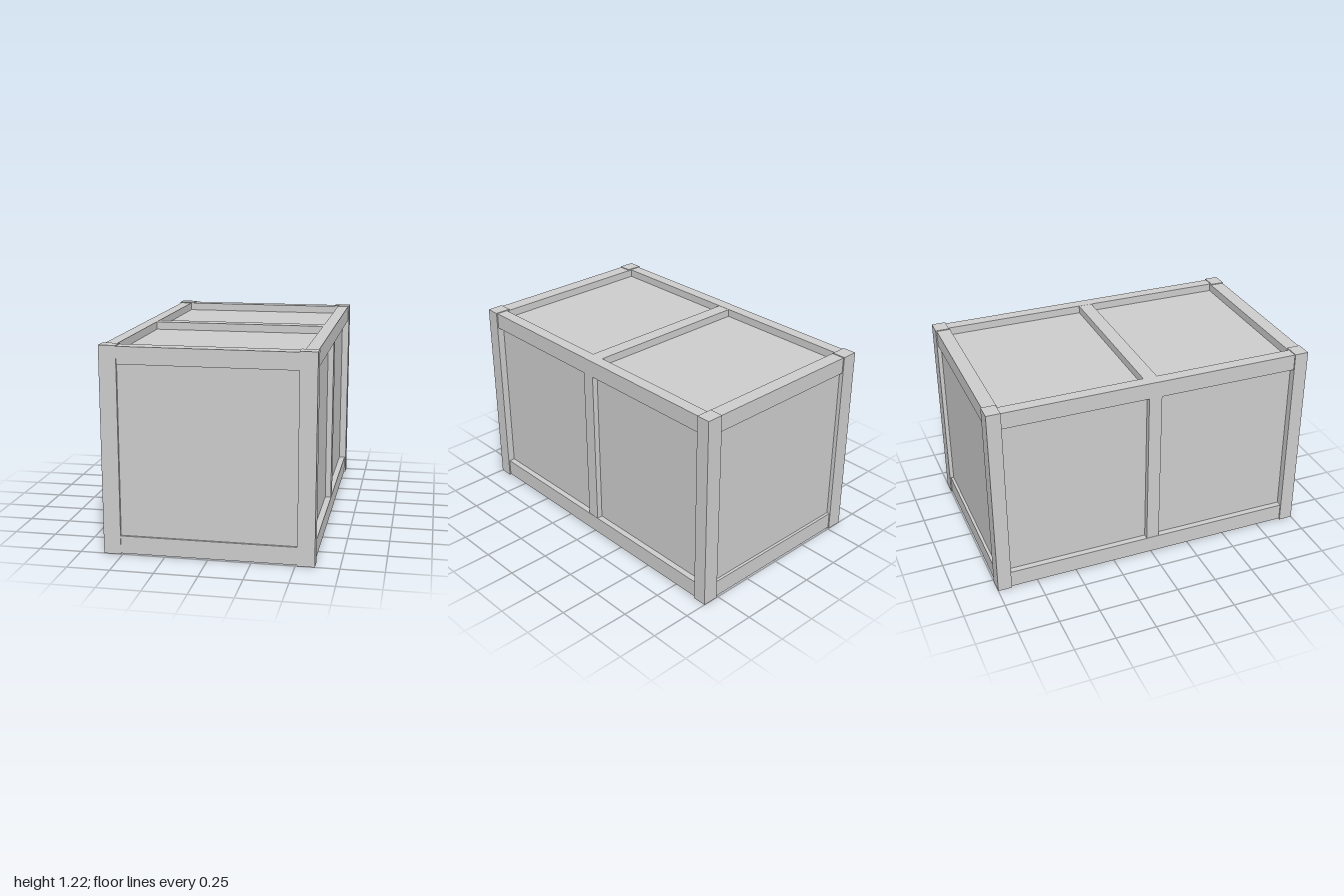
import * as THREE from 'three';

const material = new THREE.MeshStandardMaterial({ color: 0xcccccc, flatShading: true });

// Box given by its lower and upper limits on each axis
function block(name, [x0, x1], [y0, y1], [z0, z1]) {
  const geometry = new THREE.BoxGeometry(x1 - x0, y1 - y0, z1 - z0);
  geometry.translate((x0 + x1) / 2, (y0 + y1) / 2, (z0 + z1) / 2);
  const mesh = new THREE.Mesh(geometry, material);
  mesh.name = name;
  return mesh;
}

// Range mirrored to the chosen side of zero
const side = (s, a, b) => (s > 0 ? [a, b] : [-b, -a]);

export function createModel() {
  const crate = new THREE.Group();
  crate.name = 'crate';

  const levels = { bottom: [0.005, 0.11], top: [1.11, 1.21] };
  const beamLevels = { bottom: [0.006, 0.08], top: [1.13, 1.209] };

  // Closed body whose faces are the recessed panels
  crate.add(block('panelBody', [-0.565, 0.565], [0.05, 1.162], [-0.975, 0.985]));

  for (const sx of [1, -1]) {
    const hand = sx > 0 ? 'left' : 'right';

    // Corner posts, slightly proud of the rails
    for (const sz of [1, -1]) {
      const end = sz > 0 ? 'Front' : 'Back';
      crate.add(block(`${hand}${end}Post`, side(sx, 0.51, 0.61), [0, 1.215], side(sz, 0.915, 1)));
    }

    // Long rails and the upright in the middle of each side
    for (const level in levels) {
      crate.add(block(`${hand}${level}Rail`, side(sx, 0.53, 0.602), levels[level], [-0.95, 0.95]));
    }
    crate.add(block(`${hand}MiddlePost`, side(sx, 0.54, 0.6), [0.1, 1.12], [-0.03, 0.05]));
  }

  // End rails and middle cross beams, above and below
  for (const level in levels) {
    crate.add(block(`front${level}Rail`, [-0.53, 0.53], levels[level], [0.91, 0.997]));
    crate.add(block(`back${level}Rail`, [-0.53, 0.53], levels[level], [-0.993, -0.91]));
    crate.add(block(`${level}CrossBeam`, [-0.54, 0.54], beamLevels[level], [-0.04, 0.045]));
  }

  return crate;
}
